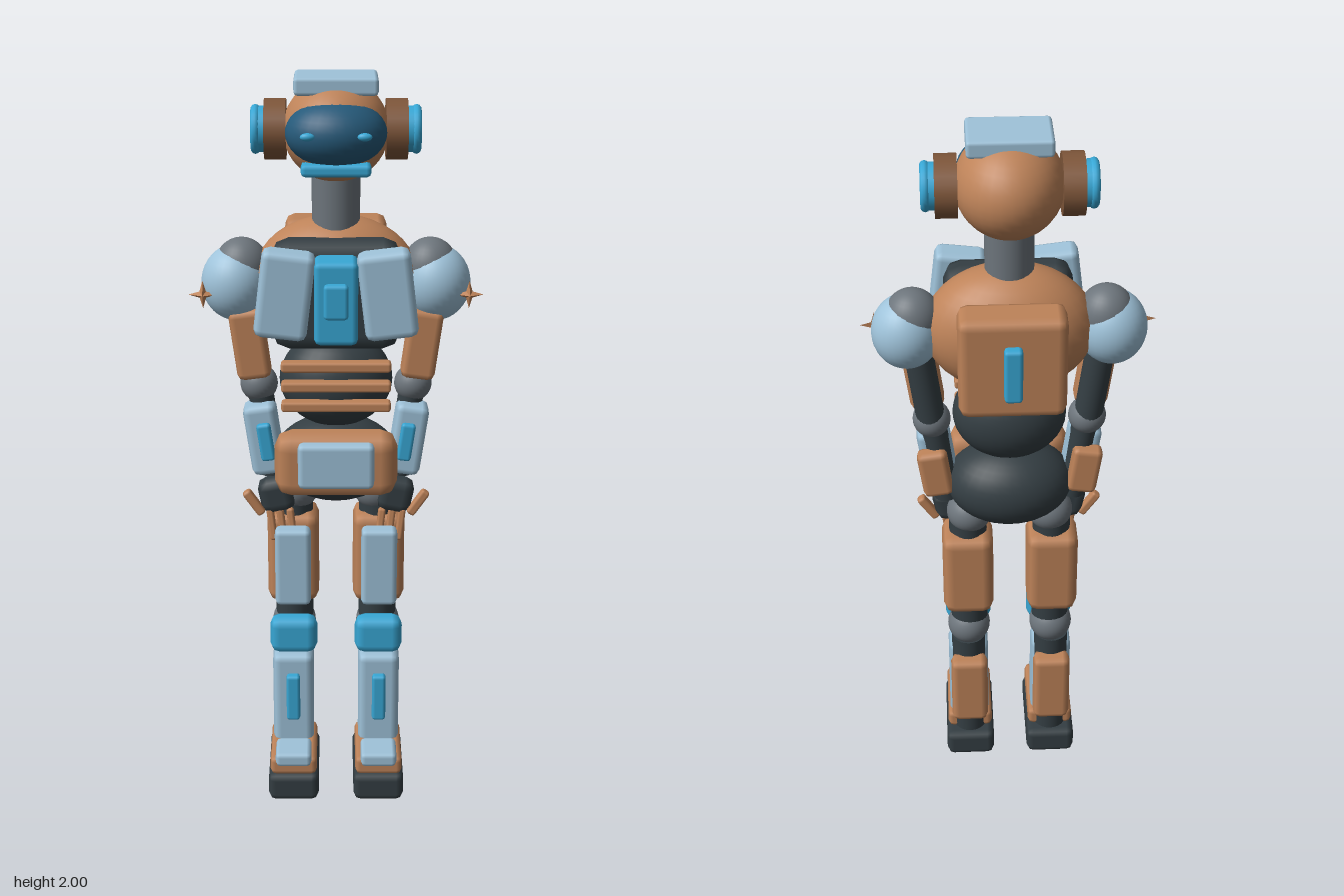
import * as THREE from 'three';
import { RoundedBoxGeometry } from 'three/addons/geometries/RoundedBoxGeometry.js';

const mat = (name, color) => {
  const m = new THREE.MeshStandardMaterial({ color });
  m.name = name;
  return m;
};

export function createModel() {
  const copper = mat('copper', 0xbe8359);
  const bronze = mat('dark bronze', 0x7e563a);
  const pale = mat('pale blue', 0x9fc3da);
  const cyan = mat('cyan', 0x38a8d6);
  const visorBlue = mat('visor blue', 0x265a7a);
  const dark = mat('charcoal', 0x343e43);
  const gray = mat('steel gray', 0x6d757c);

  const model = new THREE.Group();
  model.name = 'robot';
  let parent = model;

  const add = (name, geometry, material, pos) => {
    const mesh = new THREE.Mesh(geometry, material);
    mesh.name = name;
    mesh.position.set(...pos);
    parent.add(mesh);
    return mesh;
  };
  // Chamfered box given by size, centre, chamfer and tilt about z
  const box = (name, material, size, pos, bevel = 0.015, tilt = 0) => {
    const mesh = add(name, new RoundedBoxGeometry(...size, 1, Math.min(bevel, Math.min(...size) * 0.45)), material, pos);
    mesh.rotation.z = tilt;
    return mesh;
  };
  const ball = (name, material, radii, pos) =>
    add(name, new THREE.SphereGeometry(1, 32, 20), material, pos).scale.set(...radii);
  const tube = (name, material, r, h, pos, tilt = 0) => {
    const mesh = add(name, new THREE.CylinderGeometry(r, r, h, 24), material, pos);
    mesh.rotation.z = tilt;
    return mesh;
  };
  const group = (name) => {
    parent = new THREE.Group();
    parent.name = name;
    model.add(parent);
  };

  // Head
  group('head');
  ball('skull', copper, [0.135, 0.13, 0.155], [0, 1.86, 0]);
  ball('visor', visorBlue, [0.127, 0.085, 0.1], [0, 1.865, 0.077]);
  box('crownPlate', pale, [0.21, 0.045, 0.148], [0, 1.9775, 0.007], 0.01);
  box('chinBar', cyan, [0.175, 0.032, 0.065], [0, 1.782, 0.113], 0.012);
  tube('neck', gray, 0.062, 0.18, [0, 1.68, 0]);
  for (const s of [-1, 1]) {
    ball('eye', cyan, [0.018, 0.01, 0.01], [s * 0.07, 1.872, 0.17]);
    const half = Math.PI / 2;
    tube('earBase', bronze, 0.076, 0.055, [s * 0.153, 1.86, -0.005], half).scale.z = 1.1;
    tube('earDisc', cyan, 0.058, 0.022, [s * 0.19, 1.86, -0.005], half);
    add('earRing', new THREE.TorusGeometry(0.05, 0.012, 10, 32), cyan, [s * 0.203, 1.86, -0.005]).rotation.y = half;
  }

  // Torso
  group('torso');
  ball('ribcage', copper, [0.22, 0.175, 0.14], [0, 1.465, -0.01]);
  box('chestBacking', dark, [0.33, 0.29, 0.11], [0, 1.455, 0.08], 0.045);
  box('chestCentre', cyan, [0.11, 0.215, 0.1], [0, 1.463, 0.17], 0.015);
  box('chestCore', cyan, [0.062, 0.09, 0.03], [0, 1.475, 0.23], 0.01);
  for (const s of [-1, 1])
    box('chestPlate', pale, [0.135, 0.225, 0.08], [s * 0.13, 1.478, 0.168], 0.02, s * 0.12);
  box('backpack', copper, [0.27, 0.28, 0.11], [0, 1.46, -0.162], 0.025);
  box('backpackLight', cyan, [0.046, 0.15, 0.035], [0, 1.46, -0.228], 0.01);

  // Waist and pelvis
  group('waist');
  ball('abdomen', dark, [0.15, 0.13, 0.115], [0, 1.2, 0]);
  for (let i = 0; i < 3; i++)
    box('abdomenBar', copper, [0.285, 0.028, 0.038], [0, 1.163 + i * 0.054, 0.118], 0.008);
  ball('pelvis', dark, [0.17, 0.118, 0.13], [0, 0.975, 0]);
  box('hipArmor', copper, [0.325, 0.18, 0.11], [0, 0.995, 0.095], 0.045);
  box('hipPlate', pale, [0.2, 0.125, 0.045], [0, 1.01, 0.157], 0.015);

  // Four-pointed badge: a shallow cone with every other base corner pulled in
  const star = new THREE.ConeGeometry(0.037, 0.018, 8, 1);
  const p = star.attributes.position;
  for (let i = 0; i < p.count; i++) {
    const x = p.getX(i), z = p.getZ(i);
    if (Math.min(Math.abs(x), Math.abs(z)) > 0.005) {
      p.setX(i, x * 0.32);
      p.setZ(i, z * 0.32);
    }
  }
  star.rotateX(Math.PI / 2);
  const badge = star.toNonIndexed();
  badge.computeVertexNormals();

  for (const s of [-1, 1]) {
    const side = s > 0 ? 'left' : 'right';

    // Arm
    group(side + 'Arm');
    ball('shoulderJoint', gray, [0.072, 0.077, 0.068], [s * 0.245, 1.502, -0.012]);
    ball('shoulderCap', pale, [0.09, 0.1, 0.088], [s * 0.261, 1.46, -0.01]);
    add('shoulderBadge', badge, copper, [s * 0.344, 1.443, 0.058]);
    tube('upperArmCore', dark, 0.038, 0.23, [s * 0.222, 1.31, -0.015], -s * 0.13);
    box('upperArmArmor', copper, [0.09, 0.19, 0.065], [s * 0.225, 1.305, 0.027], 0.018, -s * 0.13);
    ball('elbow', gray, [0.05, 0.05, 0.05], [s * 0.205, 1.185, -0.005]);
    tube('forearmCore', dark, 0.034, 0.24, [s * 0.186, 1.05, 0], -s * 0.13);
    box('forearmArmor', pale, [0.088, 0.2, 0.085], [s * 0.192, 1.042, 0.025], 0.02, -s * 0.14);
    box('forearmLight', cyan, [0.038, 0.105, 0.025], [s * 0.186, 1.045, 0.075], 0.009, -s * 0.14);
    box('forearmBack', copper, [0.08, 0.14, 0.05], [s * 0.2, 1.03, -0.033], 0.016, -s * 0.14);

    // Hand
    box('palm', dark, [0.095, 0.1, 0.07], [s * 0.16, 0.882, 0.035], 0.028, -s * 0.2);
    box('thumb', copper, [0.025, 0.08, 0.028], [s * 0.222, 0.857, 0.04], 0.008, -s * 0.6);
    for (let i = -1; i <= 1; i++)
      box('finger', copper, [0.02, 0.09, 0.026], [s * (0.147 + i * 0.027), 0.8, 0.055], 0.007, -s * 0.12).rotation.x = -0.12;

    // Thigh and knee
    group(side + 'Leg');
    ball('hipJoint', gray, [0.062, 0.06, 0.062], [s * 0.11, 0.88, -0.01]);
    tube('thighCore', dark, 0.052, 0.36, [s * 0.115, 0.68, -0.01]);
    box('thighArmor', copper, [0.14, 0.265, 0.14], [s * 0.117, 0.69, -0.012], 0.03);
    box('thighPlate', pale, [0.097, 0.225, 0.055], [s * 0.117, 0.688, 0.083], 0.015);
    ball('knee', gray, [0.06, 0.06, 0.06], [s * 0.117, 0.477, -0.015]);
    box('kneePad', cyan, [0.13, 0.108, 0.068], [s * 0.117, 0.477, 0.072], 0.027);

    // Shin
    tube('shinCore', dark, 0.048, 0.36, [s * 0.119, 0.255, -0.015]);
    box('shinArmor', pale, [0.114, 0.285, 0.1], [s * 0.12, 0.258, 0.018], 0.022);
    box('shinLight', cyan, [0.038, 0.14, 0.03], [s * 0.12, 0.278, 0.079], 0.009);
    box('calfArmor', copper, [0.105, 0.23, 0.062], [s * 0.119, 0.268, -0.065], 0.02);

    // Foot
    box('sole', dark, [0.14, 0.084, 0.265], [s * 0.119, 0.042, 0.05], 0.02);
    box('footUpper', copper, [0.13, 0.055, 0.215], [s * 0.119, 0.107, 0.066], 0.015);
    box('toeCap', pale, [0.1, 0.042, 0.1], [s * 0.119, 0.131, 0.133], 0.013);
  }
  return model;
}
